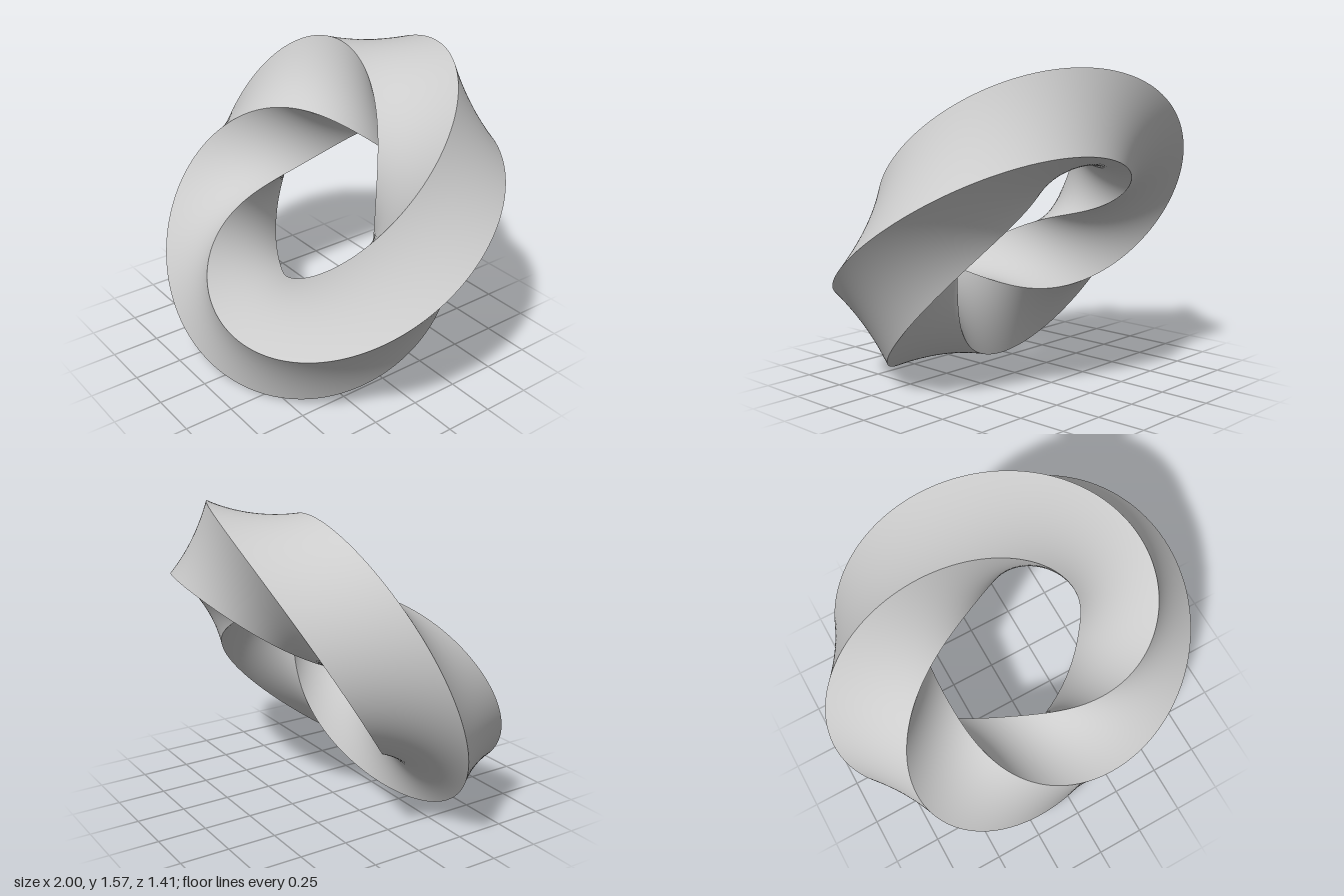
import * as THREE from 'three';
import { ParametricGeometry } from 'three/addons/geometries/ParametricGeometry.js';

const RING = 0.7;    // radius of the ring's centre line
const HALF = 0.3;    // centre to corner of the square section
const TILT = 0.698;  // lean of the ring towards the back

export function createModel() {
  const model = new THREE.Group();
  model.name = 'twistedRing';
  const grey = new THREE.MeshStandardMaterial({ color: 0xcccccc });
  grey.name = 'grey';

  // Point on one side of the square section, which turns once per lap
  const sidePoint = (side) => (u, v, target) => {
    const lap = v * Math.PI * 2;
    const from = lap + side * Math.PI / 2;
    const to = from + Math.PI / 2;
    const r = RING + HALF * THREE.MathUtils.lerp(Math.cos(from), Math.cos(to), u);
    const h = HALF * THREE.MathUtils.lerp(Math.sin(from), Math.sin(to), u);
    target.set(-r * Math.cos(lap), r * Math.sin(lap), h);
  };

  // Four separate bands keep the corners sharp and the faces smooth
  const ring = new THREE.Group();
  ring.name = 'ring';
  for (let side = 0; side < 4; side++) {
    const band = new THREE.Mesh(new ParametricGeometry(sidePoint(side), 16, 240), grey);
    band.name = `band${side + 1}`;
    ring.add(band);
  }
  ring.rotation.x = -TILT;
  ring.position.y = 0.784;
  model.add(ring);
  return model;
}
